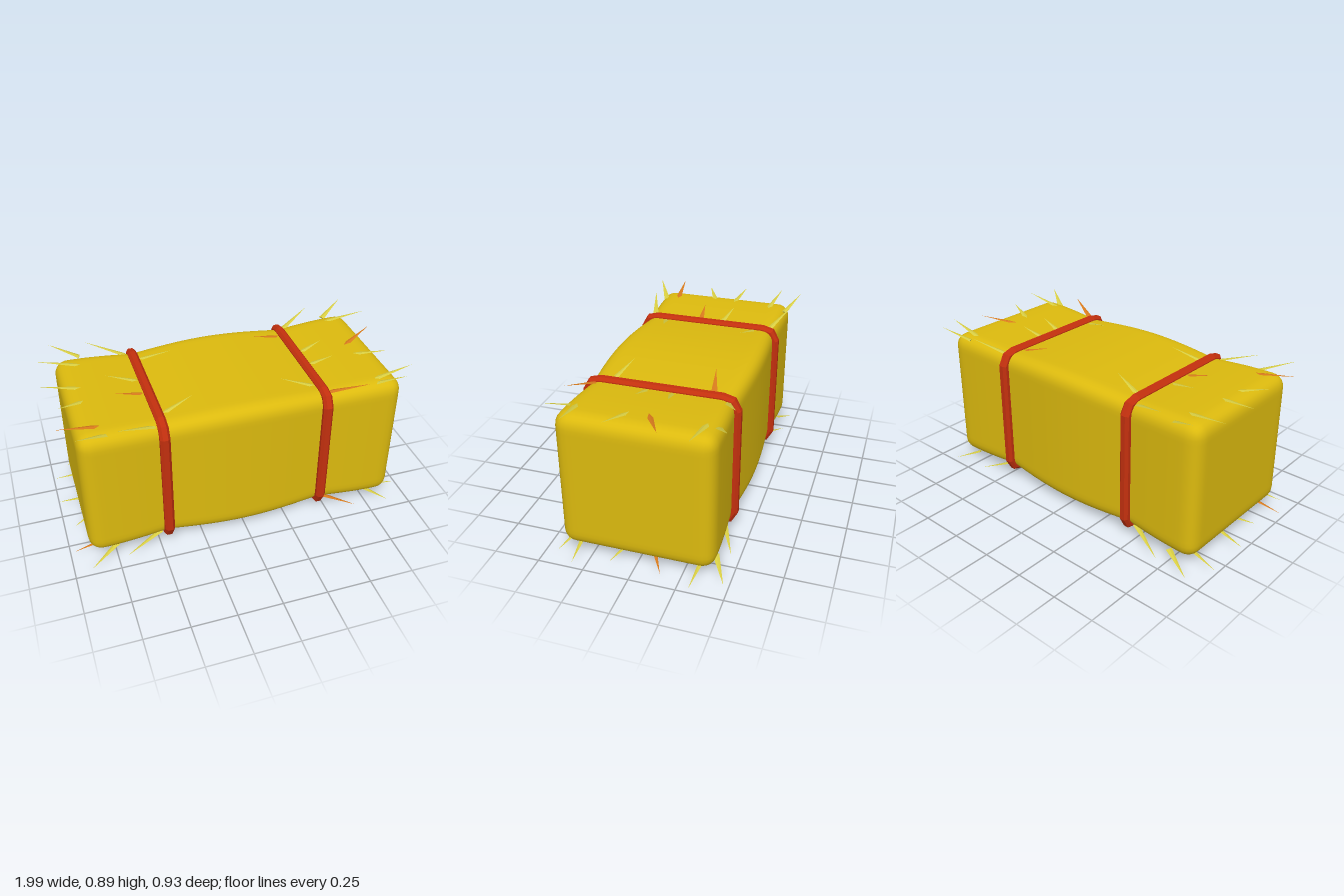
import * as THREE from 'three';
import { mergeVertices } from 'three/addons/utils/BufferGeometryUtils.js';

const mat = (name, color) => {
  const m = new THREE.MeshStandardMaterial({ color });
  m.name = name;
  return m;
};

const MID = 0.445; // height of the bale's centre

// Cross-section scale along the bale: pinched at the straps, bulging between
function pinch(x) {
  const a = Math.abs(x);
  return a < 0.45
    ? 0.953 + 0.06 * Math.cos((Math.PI / 2) * (a / 0.45))
    : 0.953 + 0.045 * Math.sin((Math.PI / 2) * Math.min(1, (a - 0.45) / 0.38));
}

// Rounded box with pinched waist lines
function baleGeometry() {
  const half = new THREE.Vector3(0.895, 0.39, 0.415), r = 0.075;
  let g = new THREE.BoxGeometry(half.x * 2, half.y * 2, half.z * 2, 60, 30, 30);
  g.deleteAttribute('uv');
  g.deleteAttribute('normal');
  g = mergeVertices(g);
  const inner = half.clone().subScalar(r);
  const p = g.attributes.position, v = new THREE.Vector3(), c = new THREE.Vector3();
  for (let i = 0; i < p.count; i++) {
    v.fromBufferAttribute(p, i);
    c.copy(v).clamp(inner.clone().negate(), inner);
    v.sub(c).setLength(r).add(c);
    const s = pinch(v.x);
    p.setXYZ(i, v.x, v.y * s, v.z * s);
  }
  g.computeVertexNormals();
  return g;
}

// Rectangle with two-step chamfered corners
function loop(PathClass, hz, hy) {
  const corner = [[hz, hy - 0.07], [hz - 0.03, hy - 0.015], [hz - 0.085, hy]];
  const back = [...corner].reverse();
  const pts = [
    ...corner,
    ...back.map(([z, y]) => [-z, y]),
    ...corner.map(([z, y]) => [-z, -y]),
    ...back.map(([z, y]) => [z, -y]),
  ];
  return new PathClass(pts.map(([z, y]) => new THREE.Vector2(z, y)));
}

// Straps are bands with bevelled edges, extruded along x
function strapGeometry() {
  const shape = loop(THREE.Shape, 0.415, 0.38);
  shape.holes.push(loop(THREE.Path, 0.38, 0.345));
  const g = new THREE.ExtrudeGeometry(shape, {
    depth: 0.027, bevelEnabled: true, bevelThickness: 0.014, bevelSize: 0.015, bevelSegments: 1,
  });
  g.translate(0, 0, -0.0135);
  g.rotateY(Math.PI / 2);
  return g;
}

// Loose stalks seen from above: tip x, tip z, base x, base z, 1 if dry
const STALKS = [
  [-0.905, -0.47, -0.745, -0.40, 0], [-0.99, -0.335, -0.755, -0.295, 0],
  [-1.0, -0.10, -0.79, -0.065, 0], [-0.94, 0.13, -0.80, 0.06, 0],
  [-0.98, 0.32, -0.76, 0.30, 1], [-0.905, 0.46, -0.74, 0.37, 0],
  [-0.70, -0.45, -0.49, -0.36, 0], [-0.65, -0.105, -0.48, -0.065, 0],
  [-0.63, 0.08, -0.48, 0.065, 1], [-0.70, 0.43, -0.49, 0.36, 0],
  [-0.25, -0.235, -0.425, -0.28, 0], [-0.25, 0.225, -0.425, 0.27, 0],
  [0.24, -0.235, 0.42, -0.275, 1], [0.24, 0.22, 0.42, 0.275, 0],
  [0.665, -0.45, 0.48, -0.36, 0], [0.615, -0.095, 0.48, -0.07, 0],
  [0.615, 0.08, 0.48, 0.065, 0], [0.675, 0.435, 0.48, 0.35, 1],
  [0.895, -0.47, 0.75, -0.39, 0], [0.99, -0.315, 0.745, -0.335, 0],
  [0.94, -0.15, 0.74, -0.04, 1], [0.93, 0.13, 0.75, 0.06, 0],
  [0.98, 0.32, 0.75, 0.33, 0], [0.885, 0.44, 0.75, 0.36, 0],
];

export function createModel() {
  const straw = mat('straw yellow', 0xdcba0e);
  const twine = mat('twine red', 0xc4300e);
  const pale = mat('pale stalk', 0xd6cc42);
  const dry = mat('dry orange stalk', 0xd87a1c);

  const model = new THREE.Group();
  model.name = 'strawBale';

  const bale = new THREE.Mesh(baleGeometry(), straw);
  bale.name = 'bale';
  bale.position.y = MID;
  model.add(bale);

  const strapGeo = strapGeometry();
  for (const side of [1, -1]) {
    const strap = new THREE.Mesh(strapGeo, twine);
    strap.name = side > 0 ? 'leftStrap' : 'rightStrap';
    strap.position.set(side * 0.45, MID, 0);
    model.add(strap);
  }

  // Thin pointed blades on the top, mirrored on the underside
  const blade = new THREE.ConeGeometry(0.018, 1, 4).toNonIndexed();
  blade.scale(1, 1, 0.3);
  blade.computeVertexNormals();
  const up = new THREE.Vector3(0, 1, 0);
  for (const side of [1, -1]) {
    const stalks = new THREE.Group();
    stalks.name = side > 0 ? 'topStalks' : 'bottomStalks';
    for (const [tx, tz, bx, bz, isDry] of STALKS) {
      const rise = Math.abs(tz) > 0.4 && Math.abs(tx) > 0.8 ? 0.443
        : 0.406 + 0.06 * Math.abs(tz);
      const baseH = 0.39 * pinch(bx) - (Math.abs(bz) > 0.35 ? 0.012 : 0.005);
      const tip = new THREE.Vector3(tx, MID + side * rise, tz);
      const base = new THREE.Vector3(bx, MID + side * baseH, bz);
      const dir = tip.clone().sub(base);
      const len = dir.length();
      dir.normalize();
      // Blade axes: long axis to the tip, flat side facing up
      const across = new THREE.Vector3().crossVectors(dir, up).normalize();
      const facing = new THREE.Vector3().crossVectors(across, dir);
      const stalk = new THREE.Mesh(blade, isDry ? dry : pale);
      stalk.name = 'stalk';
      stalk.quaternion.setFromRotationMatrix(new THREE.Matrix4().makeBasis(across, dir, facing));
      stalk.scale.y = len;
      stalk.position.copy(tip).add(base).multiplyScalar(0.5);
      stalks.add(stalk);
    }
    model.add(stalks);
  }
  return model;
}
